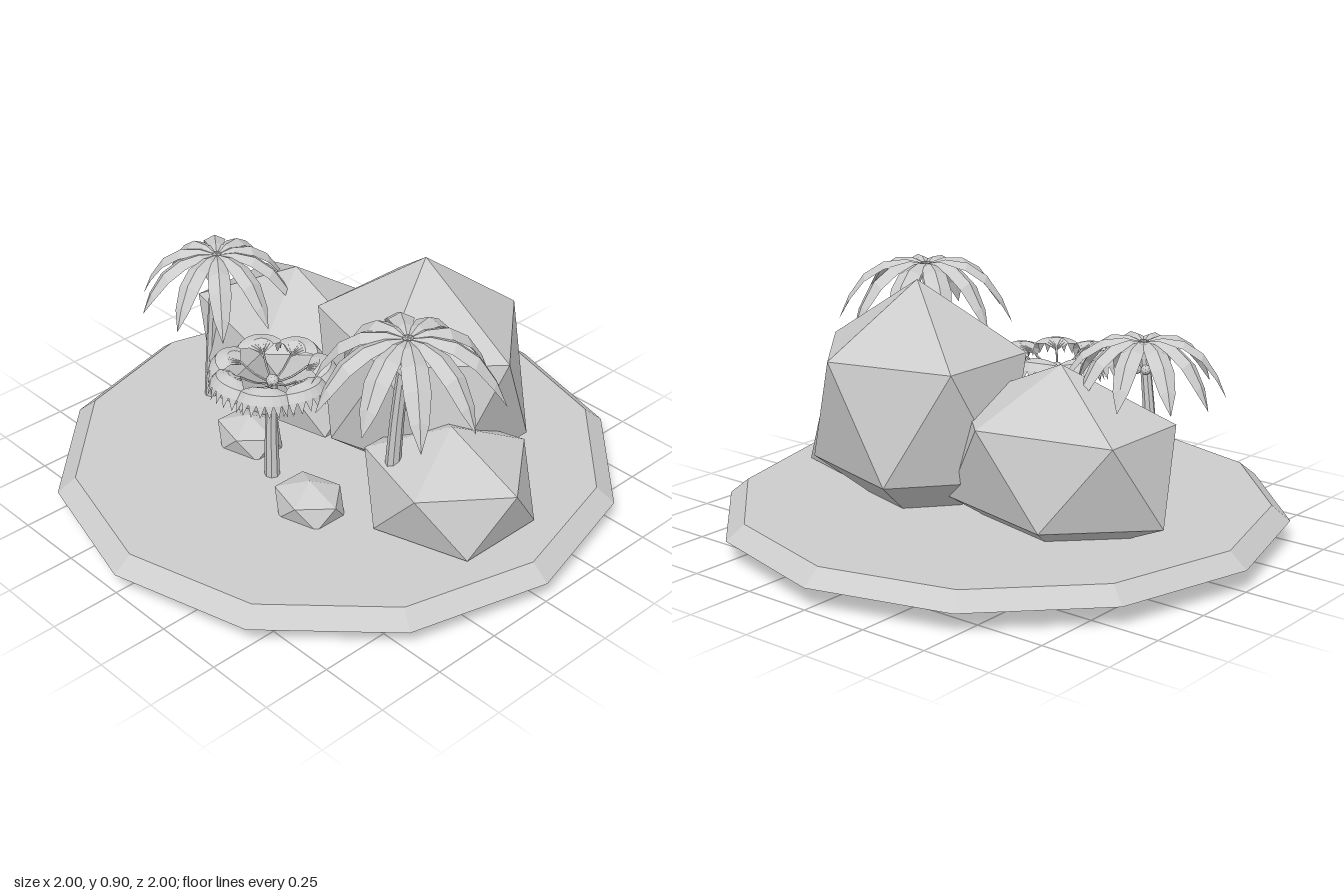
import * as THREE from 'three';

const grey = new THREE.MeshStandardMaterial({ color: 0xcccccc, flatShading: true, side: THREE.DoubleSide });
grey.name = 'pale grey';

function add(parent, geometry, name) {
  const mesh = new THREE.Mesh(geometry, grey);
  mesh.name = name;
  parent.add(mesh);
  return mesh;
}

function group(parent, name) {
  const g = new THREE.Group();
  g.name = name;
  parent.add(g);
  return g;
}

// Skin a grid of points (rows of equal length) with flat faces
function skin(rows) {
  const n = rows[0].length, index = [];
  for (let i = 0; i < rows.length - 1; i++) {
    for (let j = 0; j < n - 1; j++) {
      const a = i * n + j, b = a + n;
      index.push(a, a + 1, b, a + 1, b + 1, b);
    }
  }
  const indexed = new THREE.BufferGeometry();
  indexed.setAttribute('position', new THREE.Float32BufferAttribute(rows.flat(2), 3));
  indexed.setIndex(index);
  const flat = indexed.toNonIndexed();
  flat.computeVertexNormals();
  return flat;
}

// Tapered, slightly bent trunk through a few points
function trunkGeometry(points, r0, r1, sides = 8) {
  const curve = new THREE.CatmullRomCurve3(points.map(p => new THREE.Vector3(...p)));
  const rows = [], steps = 6;
  for (let i = 0; i <= steps; i++) {
    const t = i / steps, c = curve.getPoint(t), r = r0 + (r1 - r0) * t, row = [];
    for (let j = 0; j <= sides; j++) {
      const a = -j / sides * Math.PI * 2;
      row.push([c.x + r * Math.cos(a), c.y, c.z + r * Math.sin(a)]);
    }
    rows.push(row);
  }
  return skin(rows);
}

// Arching palm frond: [radius, height, half width], folded along the middle
function frondGeometry() {
  const sections = [[0, -0.005, 0.01], [0.07, 0.01, 0.028], [0.15, 0, 0.043],
    [0.22, -0.045, 0.044], [0.275, -0.125, 0.03], [0.31, -0.21, 0.001]];
  return skin(sections.map(([r, y, w]) => [[r - w * 0.15, y - w * 0.45, -w], [r, y, 0], [r - w * 0.15, y - w * 0.45, w]]));
}

// Domed fan with a toothed, drooping skirt
function addFan(parent) {
  const teeth = 9, spread = 1.15;
  const point = (t, a, y) => [0.115 + t * Math.cos(a), y - 0.012 * a * a, t * 1.05 * Math.sin(a)];
  const rows = [[0, 0.575], [0.045, 0.597], [0.085, 0.59], [0.105, 0.563]].map(([t, y]) => {
    const row = [];
    for (let j = 0; j <= teeth; j++) row.push(point(t, (j / teeth * 2 - 1) * spread, y));
    return row;
  });
  add(parent, skin(rows), 'fanLeaf');
  const spikes = [];
  for (let j = 0; j < teeth; j++) {
    const a = (j / teeth * 2 - 1) * spread, b = ((j + 1) / teeth * 2 - 1) * spread;
    spikes.push(...point(0.105, a, 0.563), ...point(0.105, b, 0.563), ...point(0.118, (a + b) / 2, 0.523));
  }
  const g = new THREE.BufferGeometry();
  g.setAttribute('position', new THREE.Float32BufferAttribute(spikes, 3));
  g.computeVertexNormals();
  add(parent, g, 'fanTeeth');
}

function addPalm(parent, name, crown, base, scale) {
  const palm = group(parent, name);
  const [cx, cy, cz] = crown;
  // Trunk
  const mid = [base[0] + (cx - base[0]) * 0.38, (base[1] + cy) / 2, (base[2] + cz) / 2];
  add(palm, trunkGeometry([base, mid, [cx, cy, cz]], 0.029 * scale, 0.019 * scale), 'trunk');
  // Crown of ten fronds
  const leaves = group(palm, 'crown');
  leaves.position.set(cx, cy, cz);
  leaves.scale.setScalar(scale);
  const frond = frondGeometry();
  for (let i = 0; i < 10; i++) {
    const leaf = add(leaves, frond, 'frond');
    leaf.rotation.y = -(i * 36 + 1) * Math.PI / 180;
    const s = 1 + 0.05 * Math.sin(i * 2.3);
    leaf.scale.set(s, 1 + 0.06 * Math.sin(i * 1.7), 1);
  }
  // Nuts hanging under the crown
  for (let i = 0; i < 5; i++) {
    const a = i / 5 * Math.PI * 2;
    const nut = add(leaves, new THREE.IcosahedronGeometry(0.019, 1), 'nut');
    nut.position.set(0.03 * Math.cos(a), -0.105, 0.03 * Math.sin(a));
  }
}

export function createModel() {
  const model = new THREE.Group();
  model.name = 'rockyIsland';

  // Twelve-sided ground slab
  add(model, new THREE.CylinderGeometry(0.935, 1, 0.053, 12), 'ground').position.y = 0.1055;

  // Icosahedral boulders standing on a point: centre, radii
  const boulder = new THREE.IcosahedronGeometry(1, 0);
  boulder.rotateX(-Math.atan2((1 + Math.sqrt(5)) / 2, 1)).rotateY(Math.PI / 2);
  const rocks = [
    ['leftBoulder', [-0.33, 0.34, -0.11], [0.47, 0.335, 0.34]],
    ['tallBoulder', [0.22, 0.457, -0.2], [0.44, 0.445, 0.378]],
    ['rightBoulder', [0.55, 0.243, 0], [0.335, 0.231, 0.31]],
    ['smallStoneA', [0.22, 0.161, 0.335], [0.145, 0.085, 0.122]],
    ['smallStoneB', [-0.22, 0.161, 0.22], [0.145, 0.085, 0.115]],
  ];
  for (const [name, centre, radii] of rocks) {
    const rock = add(model, boulder, name);
    rock.position.set(...centre);
    rock.scale.set(...radii);
  }

  // Two palms with long fronds
  addPalm(model, 'leftPalm', [-0.505, 0.74, 0.11], [-0.555, 0.13, 0.12], 0.89);
  addPalm(model, 'rightPalm', [0.5, 0.865, 0.165], [0.435, 0.2, 0.165], 1);

  // Fan palm: trunk, knot, seven stalks with fans
  const fanPalm = group(model, 'fanPalm');
  fanPalm.position.set(-0.005, 0, 0.295);
  add(fanPalm, trunkGeometry([[-0.012, 0.13, 0], [-0.01, 0.33, 0], [0, 0.52, 0]], 0.027, 0.018), 'trunk');
  add(fanPalm, new THREE.IcosahedronGeometry(0.022, 1), 'knot').position.y = 0.525;
  for (let i = 0; i < 7; i++) {
    const branch = group(fanPalm, 'branch');
    branch.rotation.y = -i / 7 * Math.PI * 2;
    const path = new THREE.CatmullRomCurve3([[0, 0.515, 0], [0.06, 0.533, 0], [0.12, 0.576, 0]].map(p => new THREE.Vector3(...p)));
    add(branch, new THREE.TubeGeometry(path, 4, 0.004, 5), 'stalk');
    addFan(branch);
  }
  return model;
}
